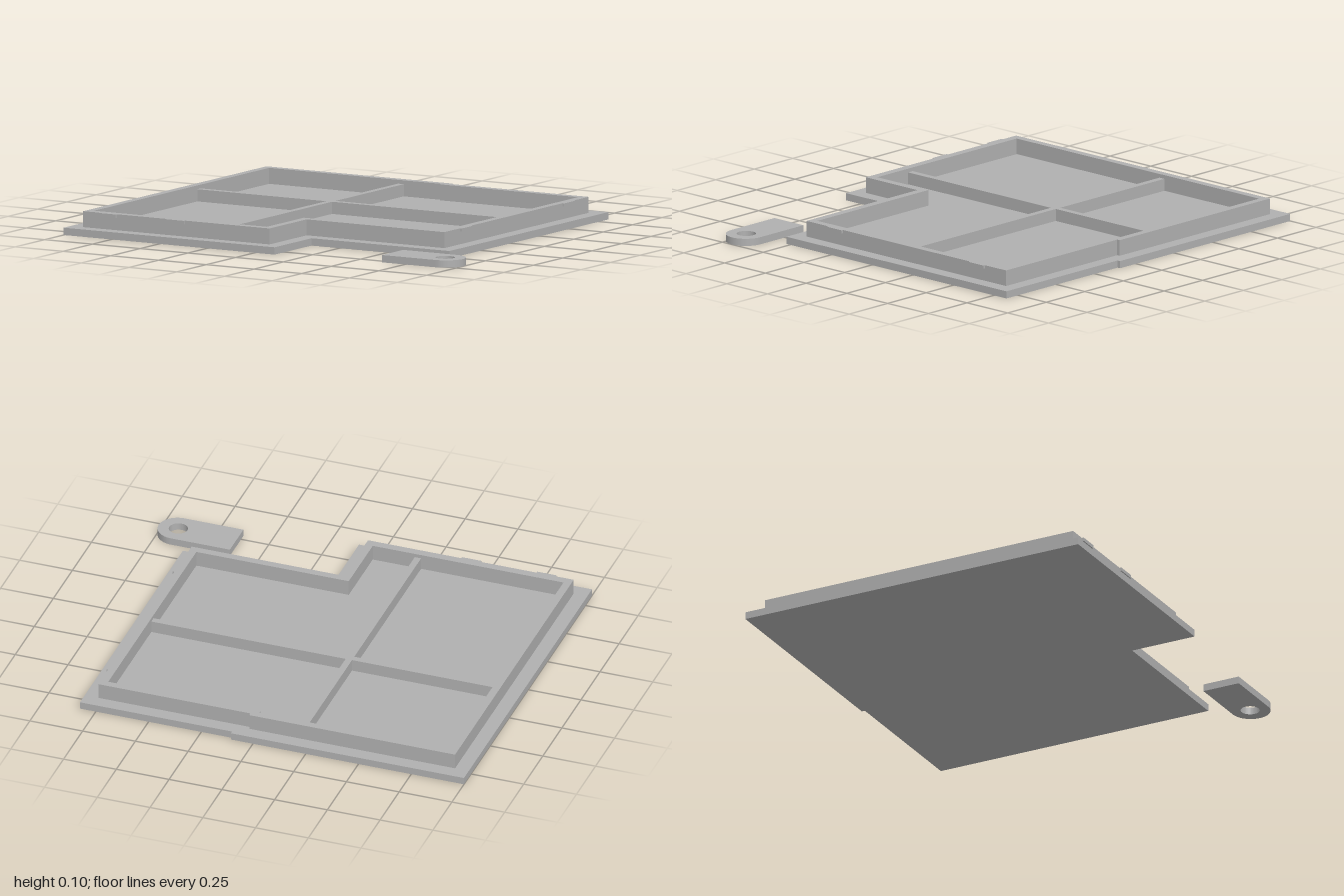
import * as THREE from 'three';

const BASE_TOP = 0.033, RIM_TOP = 0.105, RIB_TOP = 0.088;

// Plan outlines are [x, z] corners; shapes use y = -z so they lie flat after rotation.
const toPoints = (corners) => corners.map(([x, z]) => new THREE.Vector2(x, -z));

// Stepped L-shaped outline shared by the base plate and both faces of the rim.
const outline = (left, step, right, back, backStep, notch, front) => toPoints([
  [left, front], [step, front], [step, notch], [right, notch],
  [right, backStep], [step, backStep], [step, back], [left, back],
]);

function slab(shape, y0, y1) {
  const g = new THREE.ExtrudeGeometry(shape, { depth: y1 - y0, bevelEnabled: false, curveSegments: 24 });
  return g.rotateX(-Math.PI / 2).translate(0, y0, 0);
}

export function createModel() {
  const group = new THREE.Group();
  const grey = new THREE.MeshStandardMaterial({ color: 0xb0b0b0 });
  grey.name = 'plain grey';

  const add = (name, geometry) => {
    const mesh = new THREE.Mesh(geometry, grey);
    mesh.name = name;
    group.add(mesh);
  };
  const block = (name, x0, x1, y0, y1, z0, z1) => add(name,
    new THREE.BoxGeometry(x1 - x0, y1 - y0, z1 - z0)
      .translate((x0 + x1) / 2, (y0 + y1) / 2, (z0 + z1) / 2));

  // Base plate
  add('basePlate', slab(new THREE.Shape(outline(-1, 0.104, 0.825, -0.842, -0.827, 0.523, 0.838)), 0, BASE_TOP));

  // Raised rim wall
  const rim = new THREE.Shape(outline(-0.935, 0.04, 0.761, -0.779, -0.764, 0.461, 0.778));
  rim.holes.push(new THREE.Path(outline(-0.9, 0.004, 0.726, -0.745, -0.73, 0.426, 0.741)));
  add('rimWall', slab(rim, BASE_TOP, RIM_TOP));

  // Crossed stiffening ribs
  const cross = new THREE.Shape(toPoints([
    [-0.225, 0.741], [-0.195, 0.741], [-0.195, -0.135], [0.726, -0.135],
    [0.726, -0.165], [-0.195, -0.165], [-0.195, -0.745], [-0.225, -0.745],
    [-0.225, -0.165], [-0.9, -0.165], [-0.9, -0.135], [-0.225, -0.135],
  ]));
  add('crossRibs', slab(cross, BASE_TOP, RIB_TOP));

  // Snap tabs on the front and right walls
  for (const x of [-0.805, -0.448]) block('frontSnapTab', x - 0.046, x + 0.046, 0.089, RIM_TOP, 0.777, 0.787);
  for (const z of [-0.588, 0.282]) block('sideSnapTab', 0.76, 0.77, 0.091, RIM_TOP, z - 0.046, z + 0.046);

  // Separate round-ended key tag with a hole
  const tag = new THREE.Shape();
  tag.moveTo(0.631, -0.78);
  tag.lineTo(0.911, -0.78);
  tag.absarc(0.911, -0.691, 0.089, -Math.PI / 2, Math.PI / 2, false);
  tag.lineTo(0.631, -0.602);
  tag.closePath();
  tag.holes.push(new THREE.Path().absarc(0.907, -0.691, 0.043, 0, Math.PI * 2, true));
  add('keyTag', slab(tag, 0, BASE_TOP));

  return group;
}
